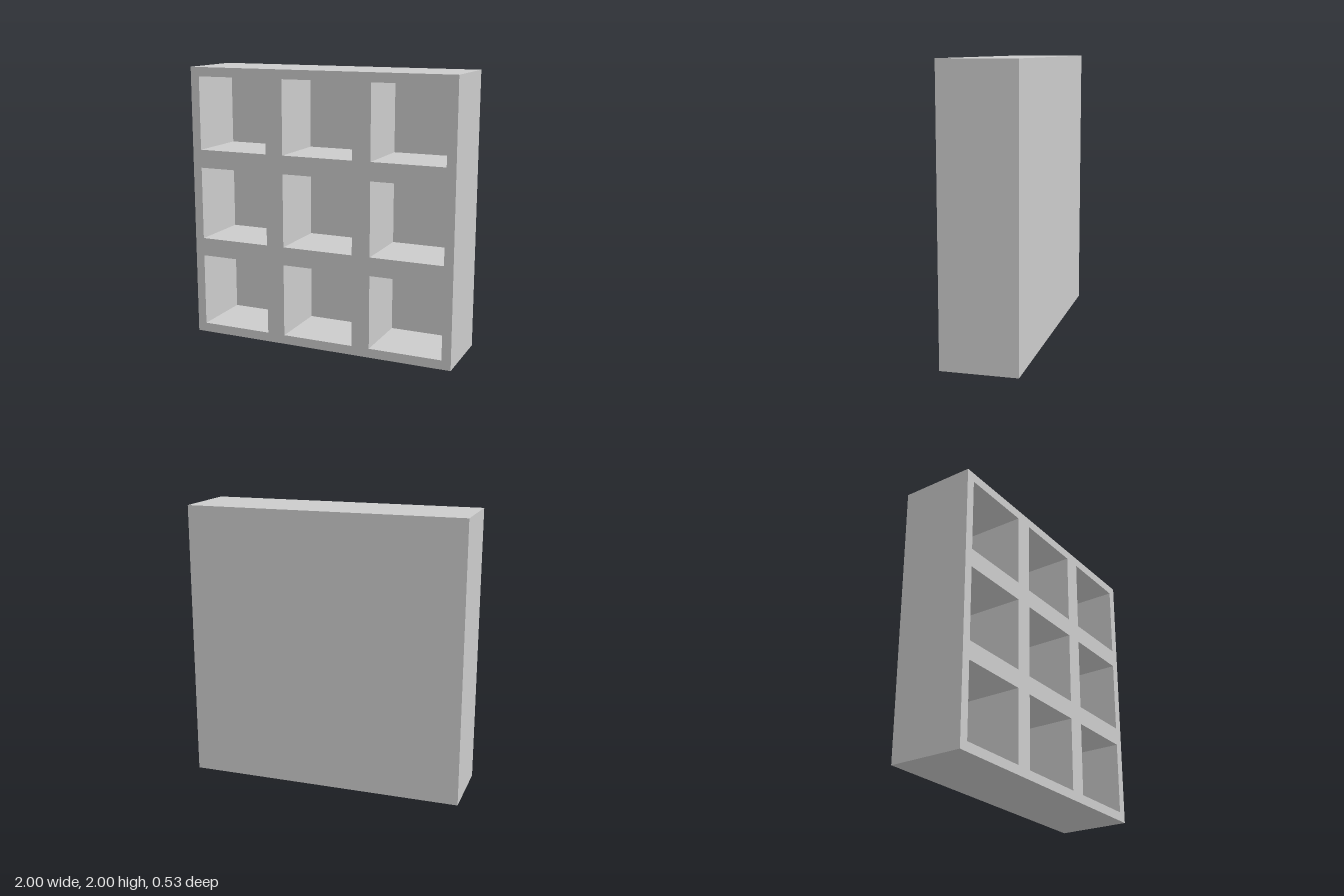
import * as THREE from 'three';

const UNIT = 2 / 30;          // wall thickness; every size is a multiple of it
const SIZE = 30 * UNIT;       // width and height
const DEPTH = 8 * UNIT;
const BACK = UNIT;            // back panel thickness
const CELL = 8 * UNIT;        // compartment opening
const PITCH = 10 * UNIT;      // compartment spacing

// Traces a square centred on (cx, cy)
function square(path, cx, cy, size) {
  const h = size / 2;
  path.moveTo(cx - h, cy - h);
  path.lineTo(cx + h, cy - h);
  path.lineTo(cx + h, cy + h);
  path.lineTo(cx - h, cy + h);
  path.closePath();
  return path;
}

export function createModel() {
  const group = new THREE.Group();
  group.name = 'cubbyShelf';
  const material = new THREE.MeshStandardMaterial({ color: 0xcccccc, flatShading: true });

  // Outer walls and dividers: one square slab with a 3 x 3 grid of openings
  const outline = square(new THREE.Shape(), 0, SIZE / 2, SIZE);
  for (let row = -1; row <= 1; row++) {
    for (let col = -1; col <= 1; col++) {
      outline.holes.push(square(new THREE.Path(), col * PITCH, SIZE / 2 + row * PITCH, CELL));
    }
  }
  const frame = new THREE.Mesh(
    new THREE.ExtrudeGeometry(outline, { depth: DEPTH - BACK, bevelEnabled: false }),
    material
  );
  frame.name = 'compartmentFrame';
  frame.position.z = -DEPTH / 2 + BACK;
  group.add(frame);

  // Solid panel closing the rear of the compartments
  const back = new THREE.Mesh(new THREE.BoxGeometry(SIZE, SIZE, BACK), material);
  back.name = 'backPanel';
  back.position.set(0, SIZE / 2, -DEPTH / 2 + BACK / 2);
  group.add(back);

  return group;
}
